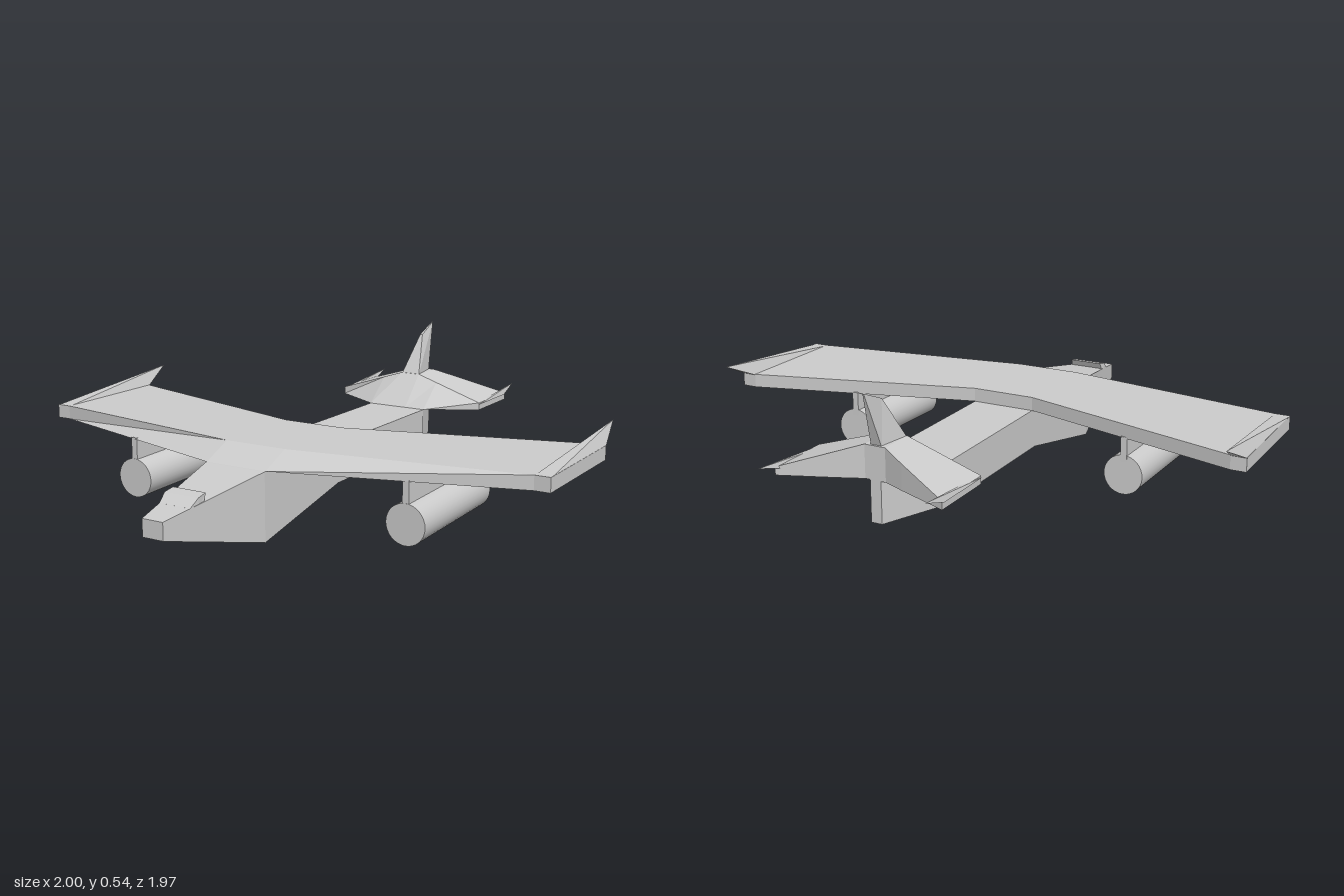
import * as THREE from 'three';

const flat = new THREE.MeshStandardMaterial({ color: 0xcccccc, flatShading: true });
const smooth = new THREE.MeshStandardMaterial({ color: 0xcccccc });

// Skin a row of matching convex loops of [x, y, z] points, close both ends, face outwards
function loft(name, loops) {
  const tris = [];
  const n = loops[0].length;
  for (let s = 0; s < loops.length - 1; s++) {
    const a = loops[s], b = loops[s + 1];
    for (let i = 0; i < n; i++) {
      const j = (i + 1) % n;
      tris.push([a[i], a[j], b[j]], [a[i], b[j], b[i]]);
    }
  }
  const last = loops[loops.length - 1];
  for (let i = 1; i < n - 1; i++) {
    tris.push([loops[0][0], loops[0][i + 1], loops[0][i]], [last[0], last[i], last[i + 1]]);
  }
  let volume = 0;
  const v = (p) => new THREE.Vector3(...p);
  for (const [a, b, c] of tris) volume += v(a).dot(v(b).cross(v(c)));
  if (volume < 0) tris.forEach((t) => t.reverse());
  const geometry = new THREE.BufferGeometry();
  geometry.setAttribute('position', new THREE.Float32BufferAttribute(tris.flat(2), 3));
  geometry.computeVertexNormals();
  const mesh = new THREE.Mesh(geometry, flat);
  mesh.name = name;
  return mesh;
}

// Cross-section facing z: half width, bottom and top height
const frame = (z, w, y0, y1) => [[-w, y0, z], [w, y0, z], [w, y1, z], [-w, y1, z]];

// Swept-back spike rising from a rectangular base to one point
function winglet(name, x0, x1, zFront, zBack, y, tip) {
  const base = [[x0, y, zFront], [x1, y, zFront], [x1, y, zBack], [x0, y, zBack]];
  return loft(name, [base, [tip, tip, tip, tip]]);
}

// Wing cross-section facing x, with a bevelled leading edge
const rib = (x, lead, leadTop, trail) => [
  [x, 0.24, lead], [x, 0.29, leadTop], [x, 0.29, trail], [x, 0.24, trail],
];

// Tail cross-section facing x, with a sloping roof
const tailRib = (x, yTop, front, frontTop, back) => [
  [x, 0.24, front], [x, yTop, frontTop], [x, yTop, back], [x, 0.24, back],
];

function engine(name, x, zMid) {
  const group = new THREE.Group();
  group.name = name;
  const length = 0.48;
  const pod = new THREE.Mesh(new THREE.CylinderGeometry(0.071, 0.071, length, 32), smooth);
  pod.name = 'enginePod';
  pod.rotation.x = Math.PI / 2 + 0.022;
  pod.position.set(x, 0.102, zMid);
  const pylon = new THREE.Mesh(new THREE.BoxGeometry(0.024, 0.09, length), flat);
  pylon.name = 'enginePylon';
  pylon.position.set(x, 0.2, zMid);
  group.add(pod, pylon);
  return group;
}

export function createModel() {
  const model = new THREE.Group();
  model.name = 'airplane';

  // Body from nose to narrow stern
  model.add(loft('fuselage', [
    frame(0.99, 0.04, 0.11, 0.17),
    frame(0.56, 0.118, 0, 0.24),
    frame(0.1, 0.118, 0.095, 0.24),
    frame(-0.54, 0.118, 0.095, 0.24),
    frame(-0.78, 0.02, 0.095, 0.24),
  ]));

  // Cockpit hood on the nose
  model.add(loft('cockpit', [
    frame(0.88, 0.06, 0.18, 0.188),
    frame(0.845, 0.066, 0.18, 0.215),
    [[-0.068, 0.18, 0.825], [0.068, 0.18, 0.825], [0.064, 0.222, 0.805], [-0.064, 0.222, 0.805]],
  ]));

  // Swept wing with square tips
  model.add(loft('wing', [
    rib(-1, 0.31, 0.31, -0.165),
    rib(-0.945, 0.31, 0.31, -0.165),
    rib(-0.118, 0.555, 0.44, 0.075),
    rib(0.118, 0.555, 0.44, 0.075),
    rib(0.945, 0.31, 0.31, -0.165),
    rib(1, 0.31, 0.31, -0.165),
  ]));

  // Engines hang at slightly different stations
  model.add(engine('rightEngine', -0.53, 0.193));
  model.add(engine('leftEngine', 0.56, 0.181));

  // Tailplane with a ridge along the middle
  model.add(loft('tailplane', [
    tailRib(-0.305, 0.268, -0.65, -0.65, -0.89),
    tailRib(-0.118, 0.329, -0.54, -0.65, -0.815),
    tailRib(-0.038, 0.355, -0.54, -0.65, -0.78),
    tailRib(0.038, 0.355, -0.54, -0.65, -0.78),
    tailRib(0.118, 0.329, -0.54, -0.65, -0.815),
    tailRib(0.305, 0.268, -0.65, -0.65, -0.89),
  ]));

  // Upright fin, tapering to a thin raked top
  model.add(loft('tailFin', [
    [[-0.038, 0.35, -0.65], [0.038, 0.35, -0.65], [0.02, 0.35, -0.77], [-0.02, 0.35, -0.77]],
    [[-0.005, 0.5, -0.74], [0.005, 0.5, -0.74], [0.002, 0.54, -0.835], [-0.002, 0.54, -0.835]],
  ]));

  // Spikes on the wing and tail tips
  for (const [side, s] of [['left', 1], ['right', -1]]) {
    model.add(winglet(side + 'Winglet', s * 0.945, s, 0.31, -0.165, 0.288, [s * 0.973, 0.35, -0.3]));
    model.add(winglet(side + 'TailWinglet', s * 0.29, s * 0.308, -0.65, -0.88, 0.262, [s * 0.3, 0.292, -0.98]));
  }
  return model;
}
